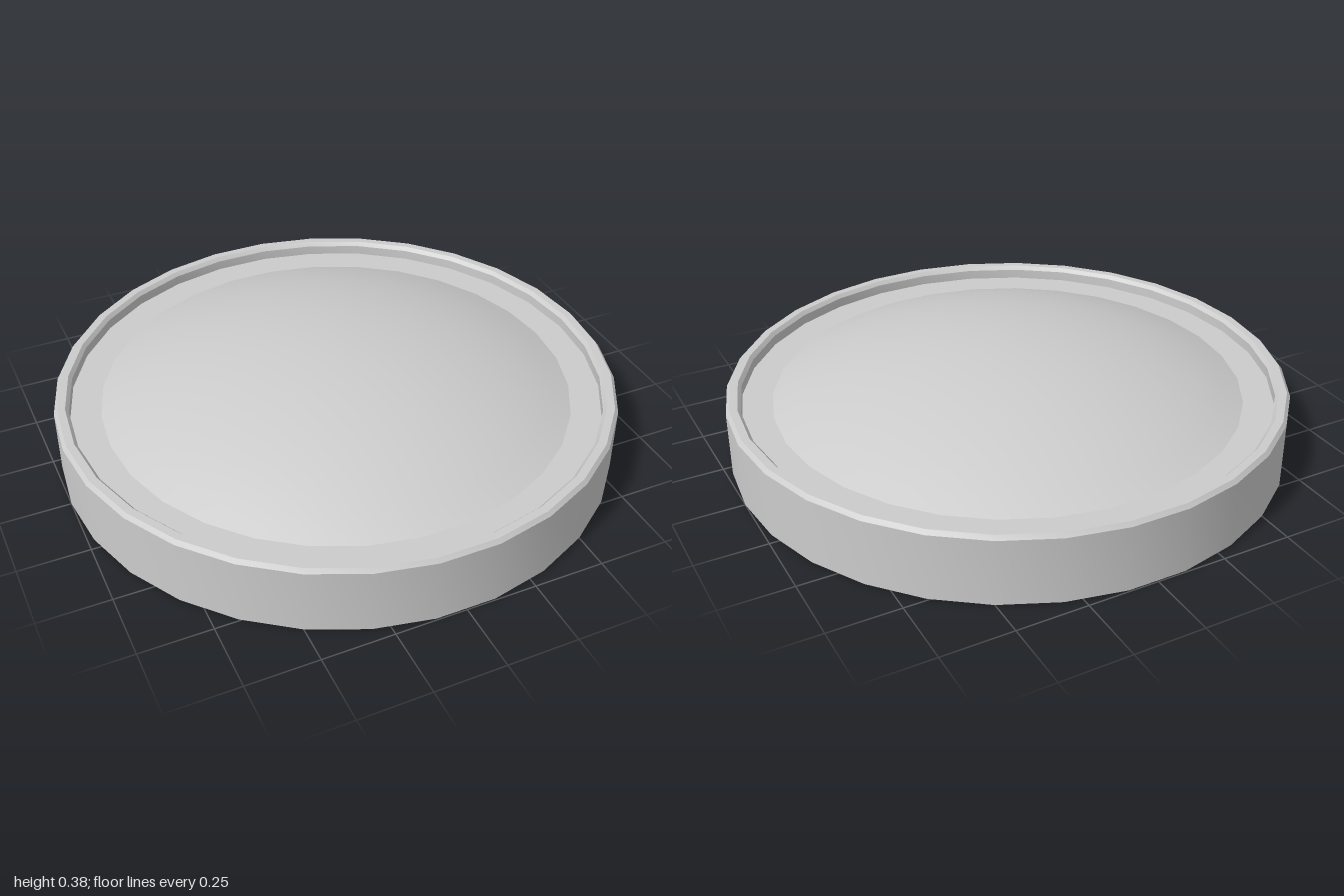
import * as THREE from 'three';
import { toCreasedNormals } from 'three/addons/utils/BufferGeometryUtils.js';

const SIDES = 30;
const FLOOR = 0.2;

// Revolve [radius, height] pairs, with one polygon corner on the x axis
function revolve(name, profile, material) {
  const points = profile.map(([r, y]) => new THREE.Vector2(r, y));
  const lathe = new THREE.LatheGeometry(points, SIDES, Math.PI / 2);
  const mesh = new THREE.Mesh(toCreasedNormals(lathe, Math.PI / 6), material);
  mesh.name = name;
  return mesh;
}

export function createModel() {
  const group = new THREE.Group();
  group.name = 'domedDisc';
  const material = new THREE.MeshStandardMaterial({ color: 0xcccccc });

  // Shallow tray: flat underside, bevelled rim, recessed floor
  group.add(revolve('tray', [
    [0, 0], [1, 0], [1, 0.236], [0.988, 0.25],
    [0.96, 0.25], [0.948, 0.236], [0.948, FLOOR], [0, FLOOR],
  ], material));

  // Low spherical dome rising from the floor
  const edge = 0.84, rise = 0.382 - FLOOR;
  const radius = (edge * edge + rise * rise) / (2 * rise);
  const sweep = Math.asin(edge / radius);
  const arc = [];
  for (let i = 0; i <= 10; i++) {
    const a = sweep * (1 - i / 10);
    arc.push([radius * Math.sin(a), FLOOR + rise - radius * (1 - Math.cos(a))]);
  }
  group.add(revolve('dome', arc, material));

  return group;
}
